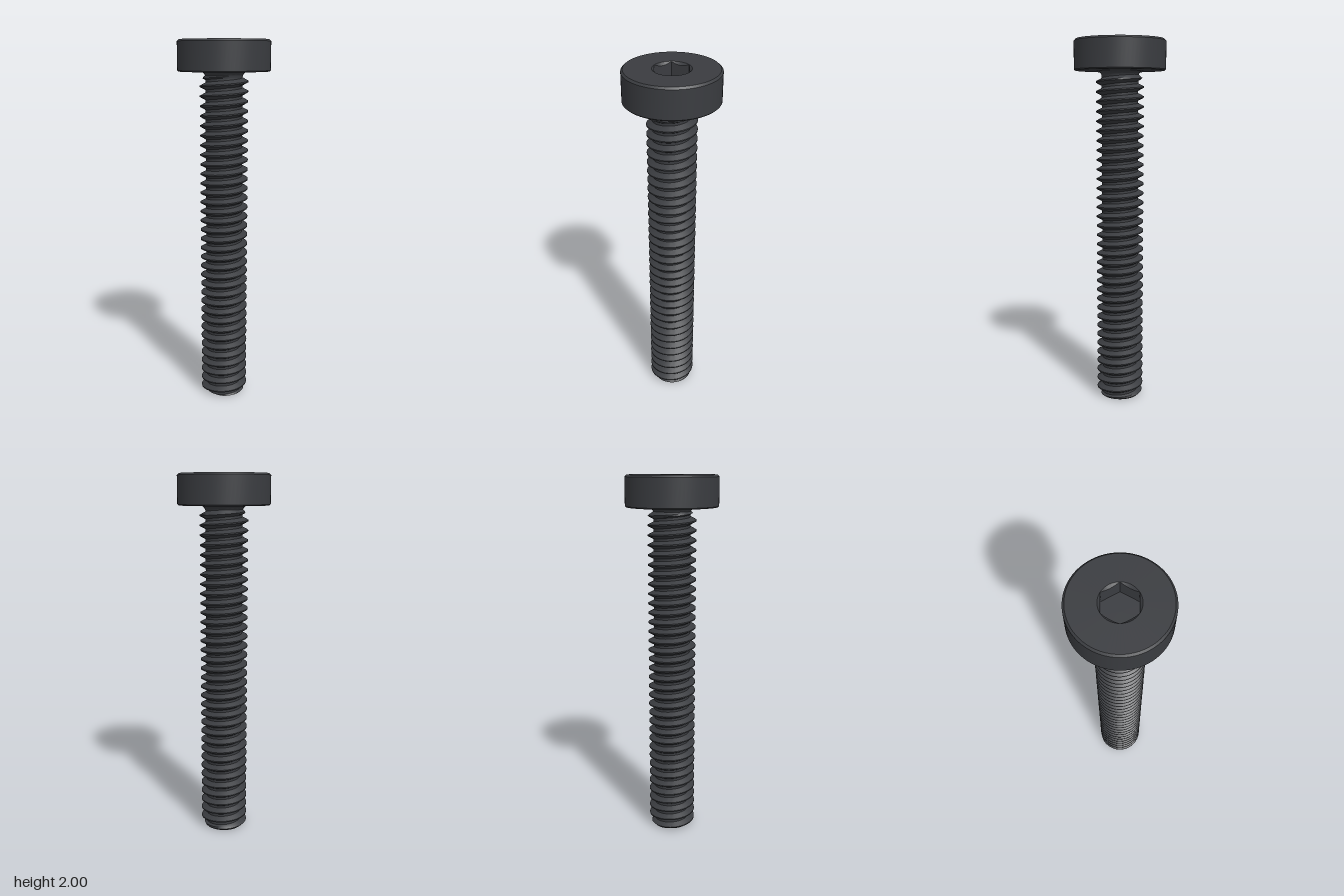
import * as THREE from 'three';
import { toCreasedNormals } from 'three/addons/utils/BufferGeometryUtils.js';

const SEG = 72;
const MINOR = 0.099, MAJOR = 0.13, PITCH = 0.0525, THREAD_TOP = 1.815;
const HEAD_R = 0.248, HEAD_BOTTOM = 1.835, HEAD_TOP = 2, SOCKET_R = 0.098, SOCKET_FLAT = 0.085;

// Skin a stack of closed rings; ring(row, angle) returns [radius, y]
function loft(rows, ring) {
  const pos = [], index = [];
  for (let j = 0; j < rows; j++) {
    for (let i = 0; i <= SEG; i++) {
      const turn = i / SEG, a = turn * Math.PI * 2;
      const [r, y] = ring(j, turn);
      pos.push(r * Math.sin(a), y, r * Math.cos(a));
    }
  }
  for (let j = 0; j < rows - 1; j++) {
    for (let i = 0; i < SEG; i++) {
      const a = j * (SEG + 1) + i, b = a + SEG + 1;
      index.push(a, a + 1, b + 1, a, b + 1, b);
    }
  }
  const g = new THREE.BufferGeometry();
  g.setAttribute('position', new THREE.Float32BufferAttribute(pos, 3));
  g.setIndex(index);
  return toCreasedNormals(g, 0.5);
}

// Thread radius at height y, trimmed by a chamfer at the tip and a run-out under the head
function threadRadius(y, turn) {
  const u = THREE.MathUtils.euclideanModulo(y / PITCH - turn, 1);
  const ramp = Math.min((u - 0.25) / 0.3125, (1 - u) / 0.3125);
  const r = MINOR + (MAJOR - MINOR) * THREE.MathUtils.clamp(ramp, 0, 1);
  return Math.max(MINOR, Math.min(r, 0.107 + y, MINOR + (THREAD_TOP - y) * 1.2));
}

// Right-handed thread: rows follow the helix and are clamped at both ends
function threadGeometry() {
  const steps = [0, 0.25, 0.4, 0.5625, 0.6875, 0.85];
  const turns = Math.ceil(THREAD_TOP / PITCH) + 1;
  const rows = turns * steps.length + 2;
  return loft(rows, (j, turn) => {
    if (j === 0) return [0, 0];
    if (j === rows - 1) return [0, THREAD_TOP];
    const k = j - 1;
    const n = Math.floor(k / steps.length) - 1;
    const y = THREE.MathUtils.clamp(PITCH * (n + steps[k % steps.length] + turn), 0, THREAD_TOP);
    return [threadRadius(y, turn), y];
  });
}

// Chamfered cylinder head with a countersunk hexagonal socket
function headGeometry() {
  const floor = HEAD_TOP - 0.09;
  const outer = [
    [0, HEAD_BOTTOM], [HEAD_R - 0.006, HEAD_BOTTOM], [HEAD_R, HEAD_BOTTOM + 0.006],
    [HEAD_R, HEAD_TOP - 0.01], [HEAD_R - 0.01, HEAD_TOP], [SOCKET_R, HEAD_TOP],
  ];
  return loft(outer.length + 3, (j, turn) => {
    if (j < outer.length) return outer[j];
    const deg = ((turn * 360 + 30) % 60) - 30;
    const hex = Math.min(SOCKET_R, SOCKET_FLAT / Math.cos(THREE.MathUtils.degToRad(deg)));
    if (j === outer.length) return [hex, HEAD_TOP - (SOCKET_R - hex)];
    return j === outer.length + 1 ? [hex, floor] : [0, floor];
  });
}

// Concave fillet joining shank and head
function neckGeometry() {
  const R = 0.032, N = 8;
  return loft(N + 1, (j) => {
    const t = (j / N) * Math.PI / 2;
    return [MINOR + R * (1 - Math.cos(t)), HEAD_BOTTOM - R + R * Math.sin(t)];
  });
}

export function createModel() {
  const group = new THREE.Group();
  group.name = 'socketHeadScrew';
  const material = new THREE.MeshStandardMaterial({ color: 0x3a3c40 });
  const add = (name, geometry) => {
    const mesh = new THREE.Mesh(geometry, material);
    mesh.name = name;
    group.add(mesh);
  };
  add('threadedShank', threadGeometry());
  add('neckFillet', neckGeometry());
  add('head', headGeometry());
  return group;
}
